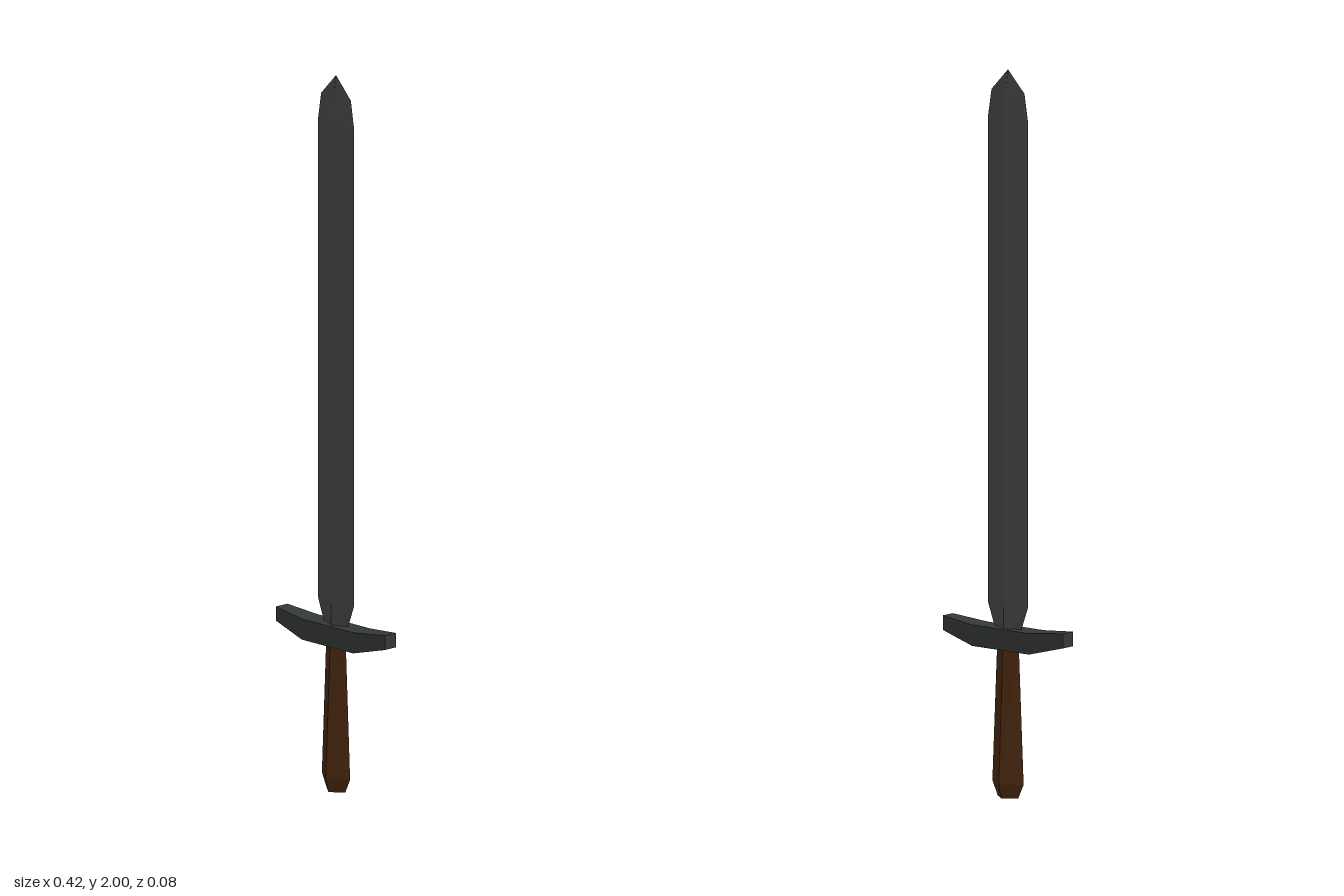
import * as THREE from 'three';

// Skins a row of equal-sized rings and closes both ends with a fan.
function loft(rings) {
  const pos = [];
  const tri = (...pts) => pts.forEach((p) => pos.push(...p));
  const n = rings[0].length;
  for (let i = 0; i < rings.length - 1; i++) {
    for (let j = 0; j < n; j++) {
      const k = (j + 1) % n;
      const a = rings[i][j], b = rings[i][k], c = rings[i + 1][k], d = rings[i + 1][j];
      tri(a, b, c);
      tri(a, c, d);
    }
  }
  const first = rings[0], last = rings[rings.length - 1];
  for (let j = 1; j < n - 1; j++) {
    tri(first[0], first[j + 1], first[j]);
    tri(last[0], last[j], last[j + 1]);
  }
  const geo = new THREE.BufferGeometry();
  geo.setAttribute('position', new THREE.Float32BufferAttribute(pos, 3));
  geo.computeVertexNormals();
  return geo;
}

// Diamond section at height y: half width w, half depth d.
const diamond = ([y, w, d]) => [[w, y, 0], [0, y, -d], [-w, y, 0], [0, y, d]];

// Rectangular section at x: from y0 to y1, half depth d.
const slab = ([x, y0, y1, d]) => [[x, y0, -d], [x, y1, -d], [x, y1, d], [x, y0, d]];

export function createModel() {
  const sword = new THREE.Group();
  sword.name = 'sword';

  const add = (name, rings, color) => {
    const material = new THREE.MeshStandardMaterial({ color, flatShading: true });
    const mesh = new THREE.Mesh(loft(rings), material);
    mesh.name = name;
    sword.add(mesh);
  };

  // Blade: flared out of the guard, straight, then a short point
  add('blade', [
    [0.44, 0.038, 0.018],
    [0.53, 0.071, 0.018],
    [1.86, 0.071, 0.018],
    [1.94, 0.058, 0.009],
    [2.0, 0.0005, 0.0005],
  ].map(diamond), 0x484848);

  // Crossguard: tapered arms with upturned ends
  add('crossguard', [
    [-0.212, 0.437, 0.477, 0.021],
    [-0.1, 0.408, 0.466, 0.032],
    [0.1, 0.408, 0.466, 0.032],
    [0.212, 0.437, 0.477, 0.021],
  ].map(slab), 0x353838);

  // Grip: widens toward a chamfered foot
  add('grip', [
    [0, 0.036, 0.028],
    [0.04, 0.055, 0.039],
    [0.42, 0.038, 0.021],
  ].map(diamond), 0x4a2810);

  return sword;
}
